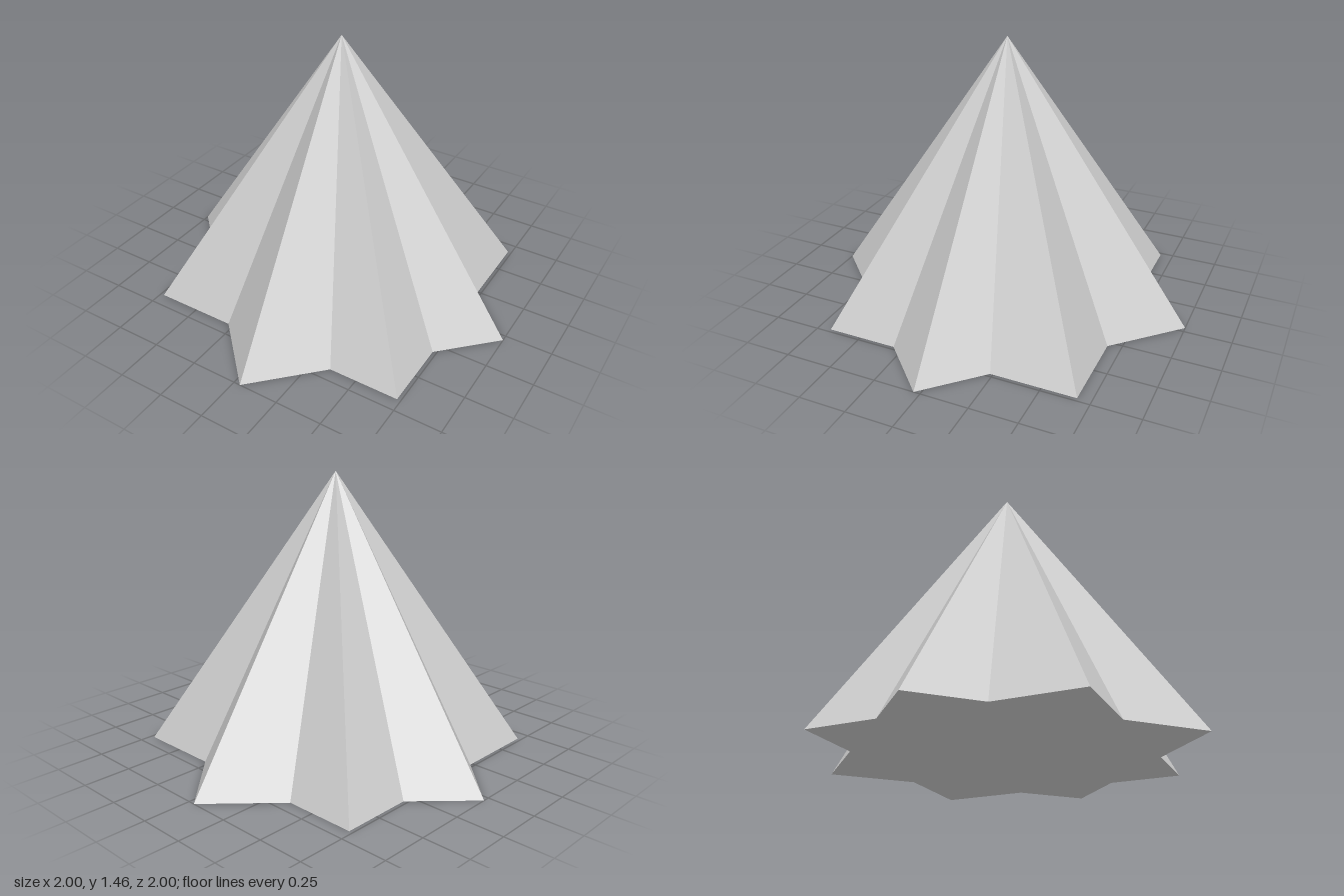
import * as THREE from 'three';

const HEIGHT = 1.46;

// Half of the star outline as [x, z]; the other half is its 180 degree turn.
const HALF = [
  [-0.035, -1], [0.283, -0.68], [0.73, -0.68], [0.73, -0.235],
  [1, 0.035], [0.73, 0.303], [0.73, 0.68], [0.353, 0.68],
];

// Triangles given as lists of corners become a faceted geometry.
function facets(triangles) {
  const geometry = new THREE.BufferGeometry();
  geometry.setAttribute('position', new THREE.Float32BufferAttribute(triangles.flat(2), 3));
  geometry.computeVertexNormals();
  return geometry;
}

export function createModel() {
  const group = new THREE.Group();
  group.name = 'starPyramid';
  const grey = new THREE.MeshStandardMaterial({ color: 0xcccccc, flatShading: true });
  grey.name = 'light grey';

  const outline = [...HALF, ...HALF.map(([x, z]) => [-x, -z])].map(([x, z]) => [x, 0, z]);
  const apex = [0, HEIGHT, 0];
  const centre = [0, 0, 0];
  const sideFaces = [];
  const baseFaces = [];
  outline.forEach((a, i) => {
    const b = outline[(i + 1) % outline.length];
    sideFaces.push([b, a, apex]);
    baseFaces.push([a, b, centre]);
  });

  // Sloping star-shaped sides
  const sides = new THREE.Mesh(facets(sideFaces), grey);
  sides.name = 'sides';
  // Flat star-shaped underside
  const base = new THREE.Mesh(facets(baseFaces), grey);
  base.name = 'base';

  group.add(sides, base);
  return group;
}
